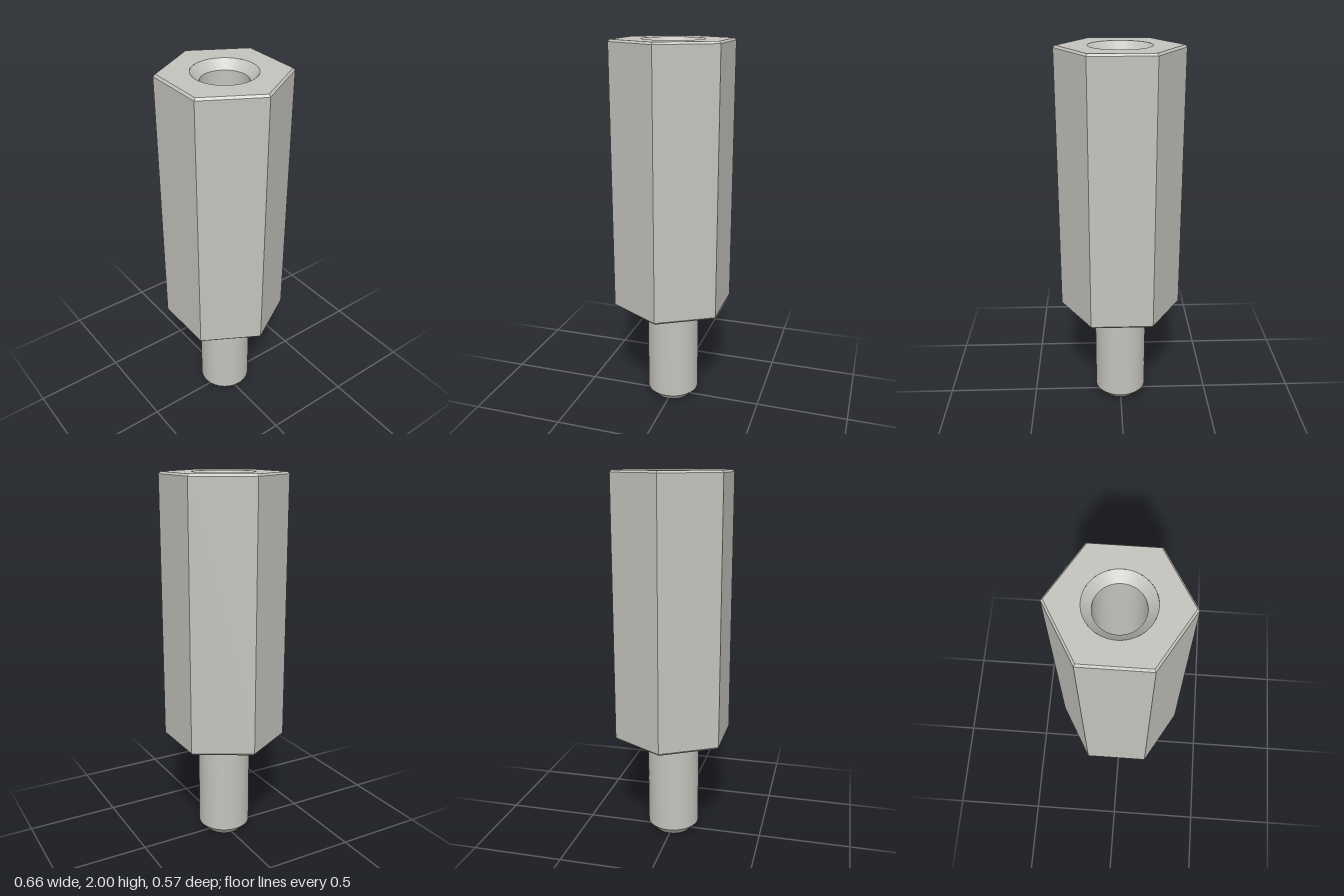
import * as THREE from 'three';
import { toCreasedNormals } from 'three/addons/utils/BufferGeometryUtils.js';

const HEX_R = 0.329, CHAMFER = 0.011;
const BODY_BOTTOM = 0.575, TOP = 2;
const SINK_R = 0.162, BORE_R = 0.118, BORE_FLOOR = 1.05;
const STUD_R = 0.142, TIP_R = 0.095, TIP_H = 0.048;
const ROUND = 64;

// Revolve a [radius, height] profile, keeping edges crisp
function revolve(profile, sides, start = 0, crease = 0.5) {
  const points = profile.map(([r, y]) => new THREE.Vector2(r, y));
  return toCreasedNormals(new THREE.LatheGeometry(points, sides, start), crease);
}

export function createModel() {
  const group = new THREE.Group();
  group.name = 'hexStandoff';
  const metal = new THREE.MeshStandardMaterial({ color: 0xc4c2bc });
  metal.name = 'satin metal';

  const add = (name, geometry) => {
    const mesh = new THREE.Mesh(geometry, metal);
    mesh.name = name;
    group.add(mesh);
  };

  // Six-sided body with small chamfers at both ends, corners on the x axis
  const inner = HEX_R - CHAMFER;
  add('hexBody', revolve([
    [0, BODY_BOTTOM], [inner, BODY_BOTTOM], [HEX_R, BODY_BOTTOM + CHAMFER],
    [HEX_R, TOP - CHAMFER], [inner, TOP],
  ], 6, Math.PI / 2, 0.1));

  // Top face with a round opening
  const face = new THREE.Shape(Array.from({ length: 6 }, (_, i) =>
    new THREE.Vector2(Math.cos(i * Math.PI / 3), Math.sin(i * Math.PI / 3)).multiplyScalar(inner)));
  face.holes.push(new THREE.Path().absarc(0, 0, SINK_R, 0, Math.PI * 2, true));
  add('topFace', new THREE.ShapeGeometry(face, ROUND).rotateX(-Math.PI / 2).translate(0, TOP, 0));

  // Countersunk blind bore, seen from inside
  add('bore', revolve([
    [SINK_R, TOP], [BORE_R, TOP - (SINK_R - BORE_R)], [BORE_R, BORE_FLOOR], [0, BORE_FLOOR],
  ], ROUND));

  // Stud with a chamfered tip
  add('stud', revolve([
    [0, 0], [TIP_R, 0], [STUD_R, TIP_H], [STUD_R, BODY_BOTTOM],
  ], ROUND));

  return group;
}
